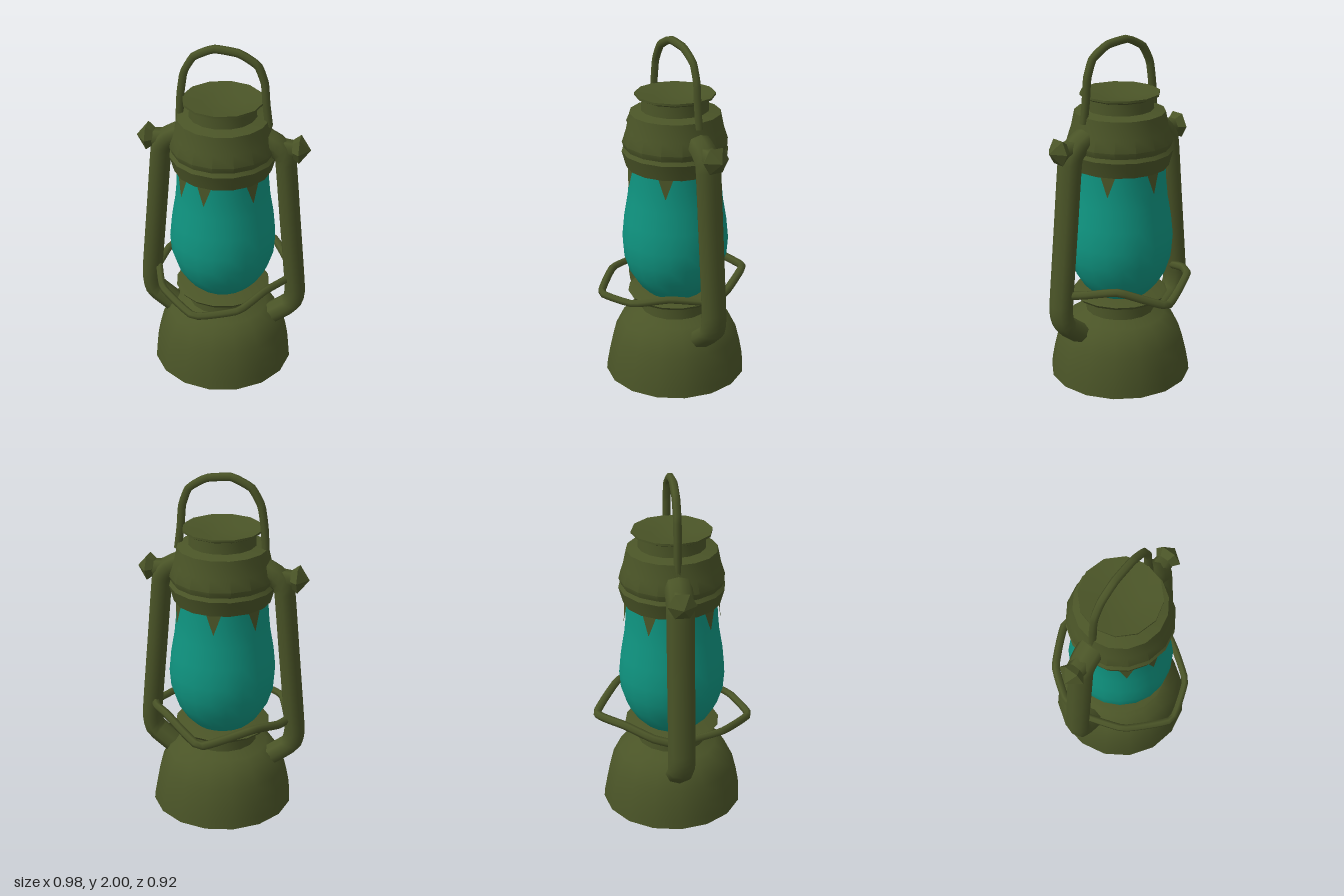
import * as THREE from 'three';
import { toCreasedNormals } from 'three/addons/utils/BufferGeometryUtils.js';

const material = (name, color) => new THREE.MeshStandardMaterial({ name, color, side: THREE.DoubleSide });

export function createModel() {
  const group = new THREE.Group();
  const olive = material('olive metal', 0x4a5427);
  const teal = material('teal glass', 0x0f9480);

  const add = (name, geometry, mat = olive) => {
    const mesh = new THREE.Mesh(geometry, mat);
    mesh.name = name;
    group.add(mesh);
    return mesh;
  };
  // Turned part from [radius, height] pairs, listed bottom to top
  const turned = (name, profile, mat, sides = 16) => add(name, toCreasedNormals(
    new THREE.LatheGeometry(profile.map(([r, y]) => new THREE.Vector2(r, y)), sides), 0.7), mat);
  // Bent rod through a few points
  const rod = (name, points, radius, sides = 6, steps = 28) => {
    const curve = new THREE.CatmullRomCurve3(
      points.map(p => new THREE.Vector3(...p)), false, 'catmullrom', 0.2);
    return add(name, new THREE.TubeGeometry(curve, steps, radius, sides));
  };

  // Fuel tank and neck
  turned('fuelTank', [[0, 0], [0.41, 0], [0.405, 0.05], [0.39, 0.13], [0.365, 0.23], [0.315, 0.33],
    [0.26, 0.365], [0.2, 0.395], [0.195, 0.5]]);
  turned('burnerPlate', [[0.17, 0.485], [0.265, 0.49], [0.275, 0.505], [0.26, 0.512], [0, 0.515]]);

  // Glass globe
  turned('glassGlobe', [[0.165, 0.51], [0.215, 0.56], [0.265, 0.64], [0.297, 0.74], [0.305, 0.84],
    [0.293, 0.96], [0.272, 1.08], [0.262, 1.18], [0.258, 1.3]], teal, 20);

  // Hood: lower rim, sloping body, chimney and dished lid
  turned('hood', [[0.24, 1.275], [0.275, 1.275], [0.3, 1.365], [0.285, 1.385], [0.298, 1.42],
    [0.275, 1.49], [0.255, 1.585], [0.19, 1.6], [0.185, 1.67]]);
  turned('lid', [[0.18, 1.66], [0.225, 1.68], [0.225, 1.692], [0.12, 1.675], [0, 1.66]], olive, 12);

  // Thin tabs hanging from the hood over the glass
  for (const angle of [-0.8, -0.2, 0.85, 2.2, 3.2, 4.1]) {
    const at = (a, r, y) => [Math.sin(a) * r, y, Math.cos(a) * r];
    const tab = new THREE.BufferGeometry();
    tab.setAttribute('position', new THREE.Float32BufferAttribute([
      ...at(angle - 0.16, 0.267, 1.28), ...at(angle, 0.275, 1.16), ...at(angle + 0.16, 0.267, 1.28)], 3));
    tab.computeVertexNormals();
    add('hoodTab', tab);
  }

  for (const side of [1, -1]) {
    const label = side > 0 ? 'left' : 'right';
    // Oval side arm from the hood down into the tank
    rod(label + 'Arm', [[0.2 * side, 1.49, 0], [0.3 * side, 1.44, 0], [0.35 * side, 1.37, 0],
      [0.385 * side, 1, 0], [0.43 * side, 0.5, 0], [0.41 * side, 0.4, 0], [0.27 * side, 0.29, 0]],
    0.06, 8, 36).scale.z = 1.28;
    // Faceted knob on a short stem
    const stem = add(label + 'KnobStem', new THREE.CylinderGeometry(0.05, 0.065, 0.14, 6));
    stem.rotation.z = -side * Math.PI / 2;
    stem.position.set(0.35 * side, 1.42, 0);
    const knob = add(label + 'Knob', toCreasedNormals(new THREE.LatheGeometry(
      [[0, -0.04], [0.05, -0.03], [0.08, 0.01], [0, 0.07]].map(p => new THREE.Vector2(...p)), 6), 0.4));
    knob.rotation.z = -side * Math.PI / 2;
    knob.position.set(0.42 * side, 1.425, 0);
  }

  // Wire guards around the globe
  rod('frontGuard', [[-0.38, 0.57, 0.02], [-0.3, 0.575, 0.25], [-0.08, 0.545, 0.44],
    [0.16, 0.56, 0.365], [0.28, 0.595, 0.2], [0.39, 0.58, 0.02]], 0.022);
  rod('backGuard', [[-0.39, 0.56, -0.02], [-0.36, 0.59, -0.15], [-0.25, 0.625, -0.3], [0.02, 0.56, -0.44],
    [0.25, 0.65, -0.29], [0.36, 0.61, -0.13], [0.4, 0.58, -0.02]], 0.024);

  // Carrying bail
  rod('carryHandle', [[-0.245, 1.52, 0], [-0.235, 1.7, 0], [-0.215, 1.83, 0], [-0.16, 1.925, 0],
    [-0.05, 1.977, 0], [0.09, 1.962, 0], [0.19, 1.9, 0], [0.228, 1.8, 0], [0.238, 1.68, 0], [0.255, 1.55, 0]],
  0.023, 6, 36);

  return group;
}
